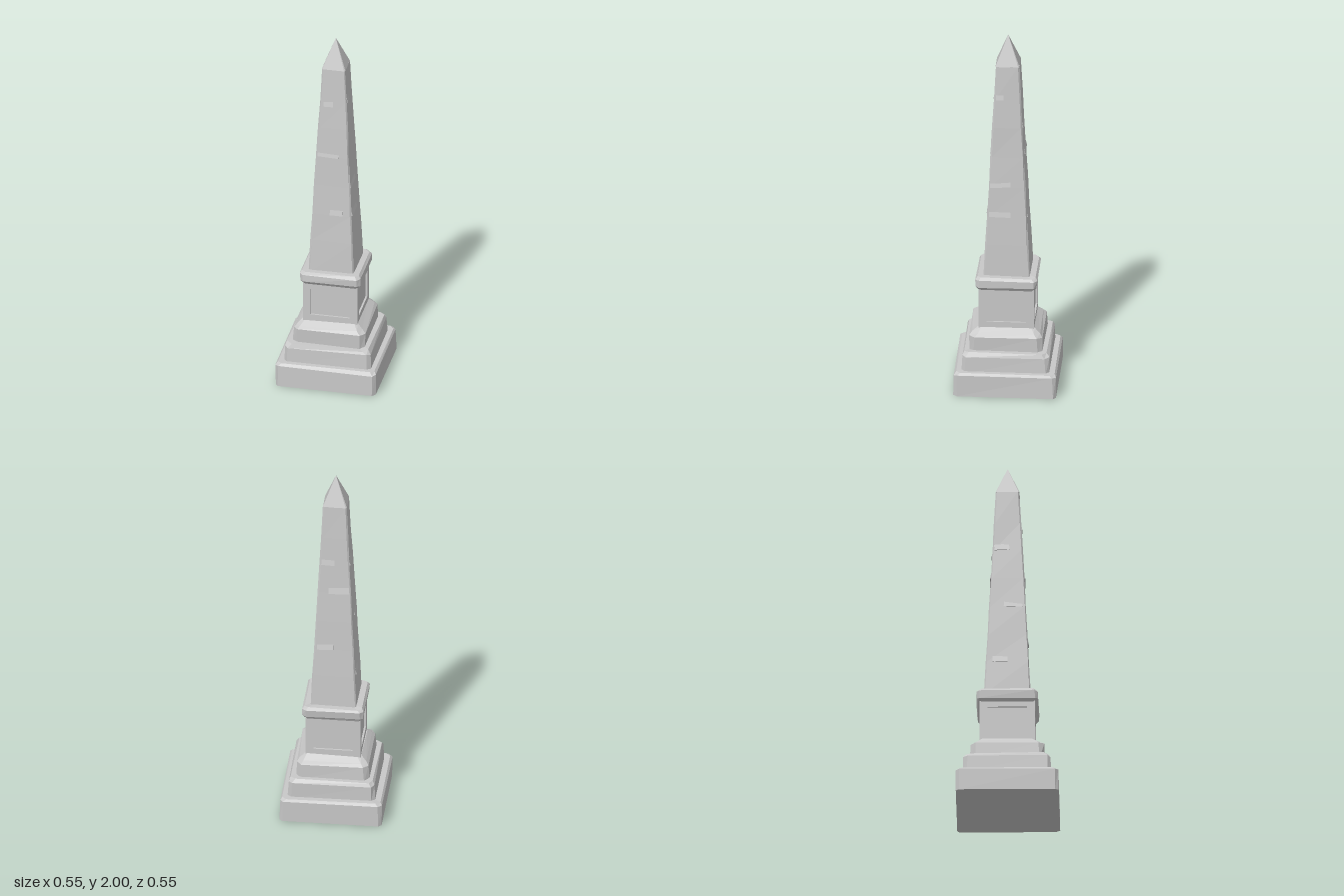
import * as THREE from 'three';

const stone = new THREE.MeshStandardMaterial({ color: 0xc8c8c8 });
stone.name = 'pale stone';

// Small seeded generator for the worn, uneven edges
let seed = 7;
const wear = (amount) => {
  seed = (seed * 16807) % 2147483647;
  return (seed / 2147483647 - 0.5) * 2 * amount;
};

// Chamfered square outline, counter-clockwise from above
function ring([y, half, chamfer], rough, level) {
  const points = [];
  for (const [sx, sz] of [[1, 1], [1, -1], [-1, -1], [-1, 1]]) {
    const a = [sx * half, sz * (half - chamfer)];
    const b = [sx * (half - chamfer), sz * half];
    for (const [x, z] of sx * sz > 0 ? [b, a] : [a, b]) {
      points.push(new THREE.Vector3(x + wear(rough), y + (level ? 0 : wear(rough)), z + wear(rough)));
    }
  }
  return points;
}

// Faceted solid through a stack of [height, half width, chamfer] sections
function loft(name, sections, rough = 0.004) {
  const rings = sections.map((s, i) => ring(s, rough, i === 0));
  const positions = [];
  const tri = (...corners) => corners.forEach((p) => positions.push(p.x, p.y, p.z));
  for (let r = 0; r < rings.length - 1; r++) {
    for (let i = 0; i < 8; i++) {
      const j = (i + 1) % 8;
      tri(rings[r][i], rings[r][j], rings[r + 1][j]);
      tri(rings[r][i], rings[r + 1][j], rings[r + 1][i]);
    }
  }
  const bottom = new THREE.Vector3(0, sections[0][0], 0);
  const top = new THREE.Vector3(0, sections[sections.length - 1][0], 0);
  for (let i = 0; i < 8; i++) {
    const j = (i + 1) % 8;
    tri(bottom, rings[0][j], rings[0][i]);
    tri(top, rings[rings.length - 1][i], rings[rings.length - 1][j]);
  }
  const geometry = new THREE.BufferGeometry();
  geometry.setAttribute('position', new THREE.Float32BufferAttribute(positions, 3));
  geometry.computeVertexNormals();
  const mesh = new THREE.Mesh(geometry, stone);
  mesh.name = name;
  return mesh;
}

// Raised border around the sunken panel on one pedestal face
function panelFrame(turn) {
  const rect = (path, w, y0, y1) =>
    path.moveTo(-w, y0).lineTo(w, y0).lineTo(w, y1).lineTo(-w, y1).closePath();
  const shape = rect(new THREE.Shape(), 0.146, 0.345, 0.575);
  shape.holes.push(rect(new THREE.Path(), 0.105, 0.385, 0.54));
  const geometry = new THREE.ExtrudeGeometry(shape, { depth: 0.012, bevelEnabled: false });
  geometry.translate(0, 0, 0.136);
  const mesh = new THREE.Mesh(geometry, stone);
  mesh.name = 'pedestalPanelFrame';
  mesh.rotation.y = turn * Math.PI / 2;
  return mesh;
}

// Half width of the tapering shaft at a height
const shaftHalf = (y) => 0.124 - 0.061 * (y - 0.63) / 1.21;

// Thin chipped lip along a cracked course; turn 0 is front, 1 left, 2 back, 3 right
function crack([turn, y, from, to, tilt]) {
  const lip = new THREE.Shape();
  lip.moveTo(-0.008, 0).lineTo(0.005, 0).lineTo(-0.003, 0.035).lineTo(-0.008, 0.035).closePath();
  const geometry = new THREE.ExtrudeGeometry(lip, { depth: to - from, bevelEnabled: false });
  geometry.rotateY(-Math.PI / 2);
  geometry.translate((to - from) / 2, 0, 0);
  const mesh = new THREE.Mesh(geometry, stone);
  mesh.position.set((from + to) / 2, y, shaftHalf(y));
  mesh.rotation.z = tilt;
  const face = new THREE.Group();
  face.name = 'shaftCrack';
  face.rotation.y = turn * Math.PI / 2;
  face.add(mesh);
  return face;
}

export function createModel() {
  seed = 7;
  const model = new THREE.Group();
  model.name = 'obelisk';

  // Stepped base
  model.add(
    loft('lowerStep', [[0, 0.273, 0.016], [0.118, 0.272, 0.018], [0.132, 0.262, 0.022]], 0.003),
    loft('middleStep', [[0.12, 0.235, 0.02], [0.215, 0.232, 0.02], [0.235, 0.22, 0.024]]),
    loft('upperStep', [[0.22, 0.196, 0.024], [0.31, 0.193, 0.026], [0.328, 0.178, 0.026], [0.352, 0.15, 0.015]])
  );

  // Pedestal with a sunken panel on each side
  model.add(loft('pedestal', [[0.33, 0.138, 0.004], [0.59, 0.138, 0.004]], 0));
  for (let turn = 0; turn < 4; turn++) model.add(panelFrame(turn));
  model.add(loft('cornice', [
    [0.57, 0.148, 0.012], [0.588, 0.162, 0.016], [0.628, 0.164, 0.018], [0.643, 0.155, 0.02]
  ], 0.003));

  // Tapering shaft with worn courses
  const courses = [0.63, 0.82, 0.98, 1.15, 1.32, 1.49, 1.65, 1.84];
  model.add(loft('shaft', courses.map((y) => [y, shaftHalf(y), 0.007]), 0.002));

  // Cracks along the courses
  const cracks = [
    [0, 1.32, -0.08, 0.035, -0.04], [0, 0.98, -0.01, 0.06, 0], [0, 1.62, -0.05, 0.0, 0.03],
    [1, 1.15, -0.09, 0.02, 0.06], [1, 0.98, -0.095, 0.02, -0.02], [1, 1.65, -0.06, -0.02, 0],
    [2, 1.32, -0.03, 0.08, 0.04], [2, 1.49, -0.07, 0.0, -0.04], [2, 0.98, -0.09, 0.0, 0.03],
    [3, 1.15, -0.02, 0.08, -0.05], [3, 1.49, -0.07, 0.01, 0.04], [3, 0.82, -0.08, 0.0, 0]
  ];
  cracks.forEach((c) => model.add(crack(c)));

  // Pointed cap
  model.add(loft('pointedCap', [[1.838, 0.064, 0.006], [2, 0.0005, 0]], 0));
  return model;
}
